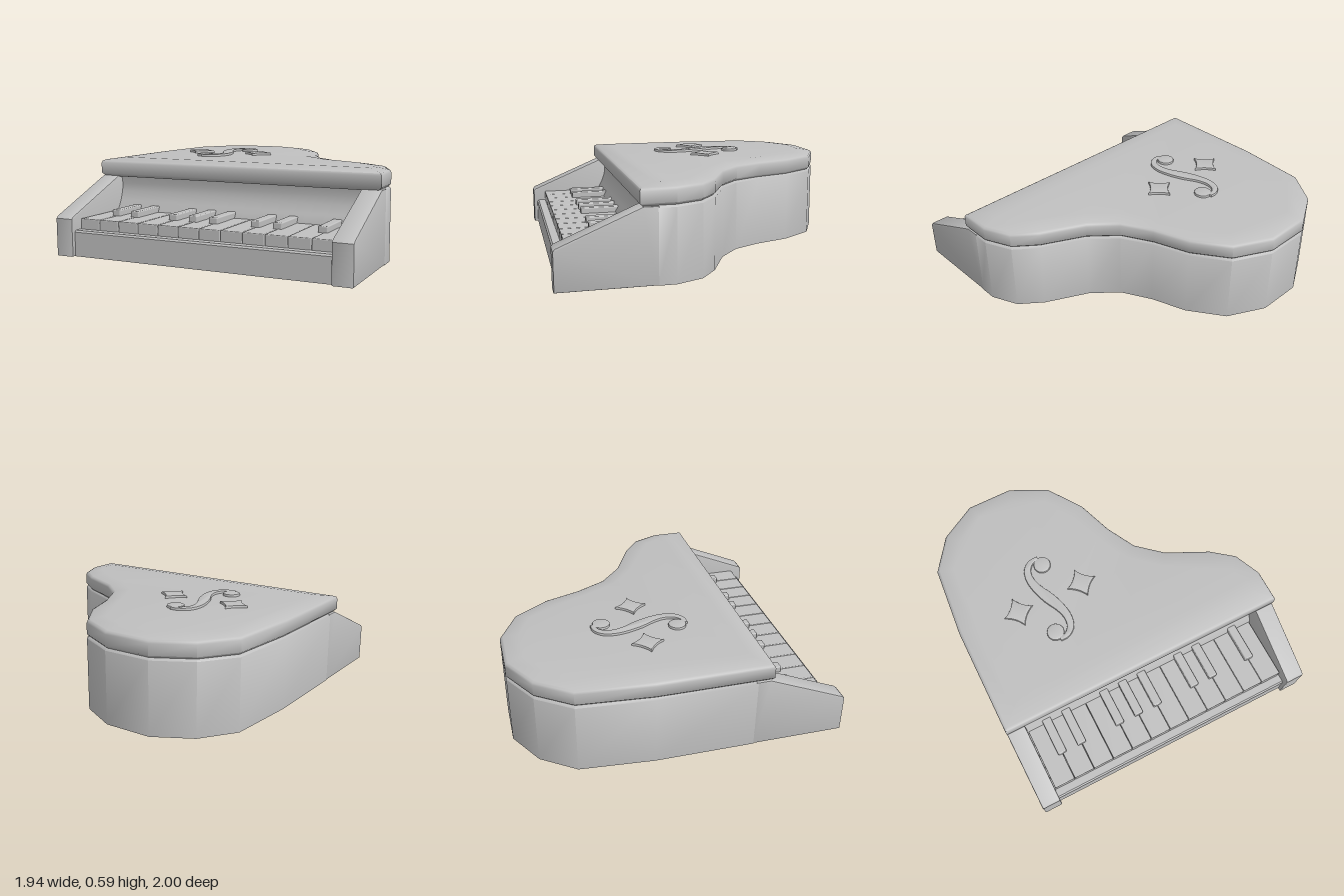
import * as THREE from 'three';
import { toCreasedNormals } from 'three/addons/utils/BufferGeometryUtils.js';
import { RoundedBoxGeometry } from 'three/addons/geometries/RoundedBoxGeometry.js';

const V2 = (x, y) => new THREE.Vector2(x, y);

// Curved rim of the case, as x, z, from the right side round the back to the left
const RIM = [[-0.97, -0.2], [-0.93, -0.66], [-0.78, -0.87], [-0.55, -1], [-0.25, -1], [-0.01, -0.88],
  [0.14, -0.66], [0.22, -0.43], [0.32, -0.24], [0.48, -0.1], [0.75, 0.03], [0.89, 0.14], [0.965, 0.31]];
const outlineTo = (front) => [[-0.97, front], ...RIM, [0.965, front]].map(([x, z]) => V2(x, z));

// Moves every edge of an outline inward by d
function inset(pts, d) {
  const n = pts.length;
  const normal = (a, b) => V2(a.y - b.y, b.x - a.x).normalize();
  return pts.map((p, i) => {
    const n1 = normal(pts[(i + n - 1) % n], p), n2 = normal(p, pts[(i + 1) % n]);
    return p.clone().addScaledVector(n1.clone().add(n2), d / (1 + n1.dot(n2)));
  });
}

// Closed solid through rows of [inset, y], listed from bottom to top
function stack(outline, rows) {
  const n = outline.length, pos = [], index = [];
  const loops = rows.map(([d]) => inset(outline, d));
  rows.forEach(([, y], r) => loops[r].forEach((p) => pos.push(p.x, y, p.y)));
  for (let r = 0; r < rows.length - 1; r++) {
    for (let i = 0; i < n; i++) {
      const a = r * n + i, b = r * n + (i + 1) % n;
      index.push(b, a, a + n, b, a + n, b + n);
    }
  }
  for (const [r, up] of [[0, false], [rows.length - 1, true]]) {
    const l = loops[r];
    for (const [a, b, c] of THREE.ShapeUtils.triangulateShape(l, [])) {
      const facesUp = THREE.ShapeUtils.area([l[a], l[b], l[c]]) < 0;
      const t = facesUp === up ? [a, b, c] : [a, c, b];
      index.push(...t.map((k) => k + r * n));
    }
  }
  const g = new THREE.BufferGeometry();
  g.setAttribute('position', new THREE.Float32BufferAttribute(pos, 3));
  g.setIndex(index);
  return toCreasedNormals(g, 0.85);
}

// Profile of [z, y] points extruded from x0 to x1
function across(profile, x0, x1, bevel) {
  const shape = new THREE.Shape(profile.map(([z, y]) => V2(z, y)));
  const g = new THREE.ExtrudeGeometry(shape, {
    depth: x1 - x0 - 2 * bevel, bevelEnabled: bevel > 0, bevelSize: bevel,
    bevelThickness: bevel, bevelOffset: -bevel, bevelSegments: 2,
  });
  g.rotateY(-Math.PI / 2).translate(x1 - bevel, 0, 0);
  return toCreasedNormals(g, 0.6);
}

// Shape drawn in x, -z laid flat on the lid
function inlay(shape) {
  const g = new THREE.ExtrudeGeometry(shape, {
    depth: 0.02, bevelSize: 0.006, bevelThickness: 0.006, bevelOffset: -0.006, bevelSegments: 2, curveSegments: 8,
  });
  g.rotateX(-Math.PI / 2).translate(0, 0.563, 0);
  return toCreasedNormals(g, 0.6);
}

// Tapered ribbon along [x, z, width] points
function ribbon(points) {
  const curve = new THREE.CatmullRomCurve3(points.map(([x, z, w]) => new THREE.Vector3(x, -z, w)));
  const left = [], right = [];
  for (let i = 0; i <= 32; i++) {
    const p = curve.getPoint(i / 32), t = curve.getTangent(i / 32);
    const side = V2(-t.y, t.x).normalize().multiplyScalar(p.z / 2);
    left.push(V2(p.x + side.x, p.y + side.y));
    right.unshift(V2(p.x - side.x, p.y - side.y));
  }
  return new THREE.Shape([...left, ...right]);
}

// Four-pointed star with hollow sides
function star(x, z, r) {
  const s = new THREE.Shape().moveTo(x + r, -z);
  for (let i = 0; i < 4; i++) {
    const a = (i + 0.5) * Math.PI / 2, b = (i + 1) * Math.PI / 2;
    s.quadraticCurveTo(x + 0.045 * Math.cos(a), -z + 0.045 * Math.sin(a), x + r * Math.cos(b), -z + r * Math.sin(b));
  }
  return s;
}

export function createModel() {
  const model = new THREE.Group();
  const grey = new THREE.MeshStandardMaterial({ color: 0xc0c0c0 });
  grey.name = 'plain grey';
  const add = (name, geometry, parent = model) => {
    const m = new THREE.Mesh(geometry, grey);
    m.name = name;
    parent.add(m);
    return m;
  };
  const group = (name) => {
    const g = new THREE.Group();
    g.name = name;
    model.add(g);
    return g;
  };

  // Case and overhanging lid with a slightly raised top
  add('case', stack(outlineTo(0.42), [[0, 0], [0, 0.445], [0.012, 0.457]]));
  add('lid', stack(outlineTo(0.52), [[0.025, 0.45], [0.012, 0.46], [0, 0.472], [0, 0.54],
    [0.006, 0.553], [0.02, 0.56], [0.11, 0.573]]));

  // Sloping cheeks on both sides of the keyboard
  const cheek = [[0.41, 0], [1, 0], [1, 0.235], [0.985, 0.25], [0.5, 0.455], [0.41, 0.455]];
  add('rightCheek', across(cheek, -0.97, -0.848, 0.008));
  add('leftCheek', across(cheek, 0.84, 0.966, 0.008));

  // Key bed and the hollow board behind the keys
  add('keyBed', across([[0.41, 0], [0.975, 0], [0.975, 0.152], [0.965, 0.163], [0.41, 0.163]], -0.86, 0.85, 0));
  add('fallboard', across([[0.41, 0.16], [0.52, 0.16], [0.51, 0.235], [0.48, 0.29], [0.46, 0.35],
    [0.455, 0.4], [0.465, 0.455], [0.41, 0.455]], -0.86, 0.85, 0));

  // Keys
  const pitch = 0.14, start = -0.845;
  const white = group('whiteKeys'), raised = group('raisedKeys');
  for (let i = 0; i < 12; i++) {
    add('whiteKey', new RoundedBoxGeometry(0.138, 0.08, 0.46, 2, 0.006), white)
      .position.set(start + (i + 0.5) * pitch, 0.189, 0.687);
  }
  for (const i of [1, 2, 4, 5, 6, 8, 9, 11]) {
    add('raisedKey', new RoundedBoxGeometry(0.06, 0.06, 0.28, 2, 0.008), raised)
      .position.set(start + i * pitch, 0.237, 0.6);
  }

  // Scroll and stars on the lid; the scroll is the same turned half round
  const cx = -0.355, cz = -0.145;
  const half = [[-0.3, -0.43, 0.03], [-0.35, -0.425, 0.035], [-0.395, -0.385, 0.045], [-0.41, -0.32, 0.05], [-0.395, -0.24, 0.06]];
  const turned = half.map(([x, z, w]) => [2 * cx - x, 2 * cz - z, w]).reverse();
  const ornament = group('lidOrnament');
  add('scroll', inlay(ribbon([...half, [cx, cz, 0.075], ...turned])), ornament);
  for (const s of [1, -1]) {
    add('scrollEnd', inlay(new THREE.Shape().absarc(cx + s * 0.061, -(cz - s * 0.23), 0.056, 0, Math.PI * 2)), ornament);
    add('star', inlay(star(-0.345 + s * 0.225, cz, 0.1)), ornament);
  }
  return model;
}
